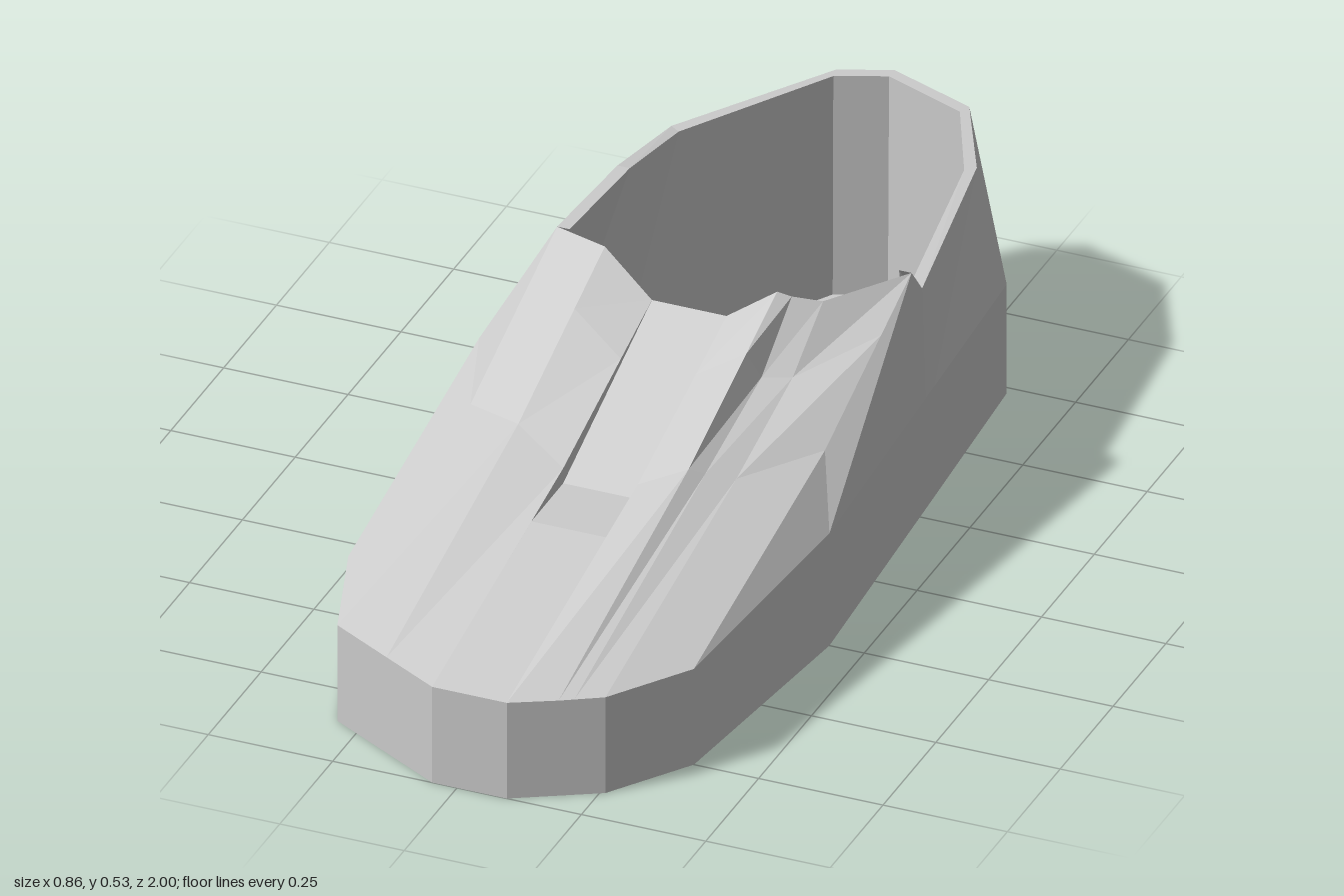
import * as THREE from 'three';

const material = new THREE.MeshStandardMaterial({ color: 0xcccccc, flatShading: true, side: THREE.DoubleSide });

// Flat-shaded mesh from polygons; each polygon is a convex loop of [x, y, z] corners
function facets(name, polygons) {
  const positions = [];
  for (const p of polygons) {
    for (let i = 1; i < p.length - 1; i++) positions.push(...p[0], ...p[i], ...p[i + 1]);
  }
  const geometry = new THREE.BufferGeometry();
  geometry.setAttribute('position', new THREE.Float32BufferAttribute(positions, 3));
  geometry.computeVertexNormals();
  const mesh = new THREE.Mesh(geometry, material);
  mesh.name = name;
  return mesh;
}

const lerp = (a, b, t) => a.map((v, i) => v + (b[i] - v) * t);
const strip = (a, b) => a.slice(1).map((_, i) => [a[i], a[i + 1], b[i + 1], b[i]]);

// Wall stations from the toe round the left side, heel and right side:
// sole x, sole z, height of the bend, then the top edge point
const stations = [
  [-0.05, 1, 0.205, [-0.05, 0.205, 1]],
  [0.1, 1, 0.205, [0.1, 0.205, 1]],
  [0.26, 0.91, 0.205, [0.26, 0.205, 0.91]],
  [0.37, 0.75, 0.205, [0.37, 0.205, 0.75]],
  [0.43, 0.25, 0.24, [0.37, 0.34, 0.13]],
  [0.398, -0.28, 0.237, [0.37, 0.5, -0.28]],
  [0.395, -0.33, 0.237, [0.37, 0.44, -0.33]],
  [0.37, -0.73, 0.234, [0.31, 0.47, -0.73]],
  [0.21, -0.93, 0.234, [0.21, 0.47, -0.93]],
  [0.03, -1, 0.234, [0.03, 0.47, -1]],
  [-0.07, -0.96, 0.234, [-0.07, 0.47, -0.96]],
  [-0.27, -0.65, 0.234, [-0.27, 0.47, -0.65]],
  [-0.324, -0.43, 0.234, [-0.285, 0.5, -0.43]],
  [-0.385, -0.18, 0.234, [-0.3, 0.5, -0.18]],
  [-0.43, 0, 0.234, [-0.38, 0.34, 0]],
  [-0.38, 0.62, 0.205, [-0.38, 0.205, 0.62]],
  [-0.3, 0.86, 0.205, [-0.3, 0.205, 0.86]],
];

export function createModel() {
  const group = new THREE.Group();
  group.name = 'shoe';
  const base = stations.map(([x, z]) => [x, 0, z]);
  const bend = stations.map(([x, z, y]) => [x, y, z]);
  const top = stations.map((s) => s[3]);
  const close = (ring) => [...ring, ring[0]];

  // Sole and the vertical lower side wall
  group.add(facets('sole', [[...base].reverse()]));
  group.add(facets('lowerWall', strip(close(base), close(bend))));

  // Leaning upper wall, leaving out the dented heel panel
  const DENT = 8;
  const upperWall = strip(close(bend), close(top)).filter((_, i) => i !== DENT);
  group.add(facets('upperWall', upperWall));

  // Dented heel panel, folded in towards one point
  const pit = [0.115, 0.35, -0.945];
  const frame = [bend[DENT], bend[DENT + 1], top[DENT + 1], top[DENT]];
  group.add(facets('heelDent', frame.map((p, i) => [p, frame[(i + 1) % 4], pit])));

  // Lip and lining round the heel opening
  const inset = ([x, y, z], d) => {
    const dx = x - 0.02, dz = Math.min(z + 0.45, 0), l = Math.hypot(dx, dz);
    return [x - (dx / l) * d, y, z - (dz / l) * d];
  };
  const rim = top.slice(5, 14);
  const innerRim = rim.map((p) => inset(p, 0.025));
  const innerBase = base.slice(5, 14).map(([x, , z]) => inset([x, 0.005, z], 0.03));
  group.add(facets('openingLip', strip(rim, innerRim)));
  group.add(facets('heelLining', strip(innerRim, innerBase)));

  // Upper: rows from the toe edge back to the opening
  const toe = [[-0.38, 0.62], [-0.3, 0.86], [-0.17, 0.933], [-0.05, 1], [0.1, 1],
    [0.185, 0.955], [0.21, 0.94], [0.26, 0.91], [0.37, 0.75]].map(([x, z]) => [x, 0.205, z]);
  const middle = [[-0.38, 0.34, 0], [-0.3, 0.34, 0.23], [-0.17, 0.37, 0.31], [-0.05, 0.34, 0.38], [0.1, 0.34, 0.38],
    [0.185, 0.37, 0.34], [0.21, 0.355, 0.32], [0.26, 0.34, 0.29], [0.37, 0.34, 0.13]];
  const throat = [[-0.3, 0.5, -0.18], [-0.3, 0.5, -0.18], [-0.17, 0.53, -0.1], [-0.05, 0.475, -0.04], [0.1, 0.475, -0.04],
    [0.185, 0.525, -0.08], [0.21, 0.515, -0.09], [0.26, 0.5, -0.12], [0.37, 0.5, -0.28]];
  // The groove beside the left ridge sinks halfway up the instep
  const instep = middle.map((p, c) => {
    const q = lerp(p, throat[c], 0.65);
    q[1] -= { 6: 0.04, 7: 0.03 }[c] ?? 0;
    return q;
  });
  const CENTRE = 3;
  const aroundCentre = (a, b) => strip(a, b).filter((_, c) => c !== CENTRE);
  group.add(facets('toeCap', aroundCentre(toe, middle)));
  group.add(facets('instep', [...aroundCentre(middle, instep), ...aroundCentre(instep, throat)]));

  // Sunken centre panel with a small flat slot at its front end
  const cols = [CENTRE, CENTRE + 1];
  const [toeC, midC, throatC] = [toe, middle, throat].map((row) => cols.map((c) => row[c]));
  const slotBack = midC.map(([x, , z]) => [x, 0.308, z]);
  const slotFront = midC.map(([x]) => [x, 0.307, 0.53]);
  group.add(facets('tongue', [
    ...strip(toeC, slotFront),
    ...strip(slotFront, slotBack),
    ...strip(slotBack, throatC),
    ...[0, 1].flatMap((i) => [
      [midC[i], slotBack[i], throatC[i]],
      [midC[i], slotFront[i], slotBack[i]],
    ]),
  ]));
  return group;
}
